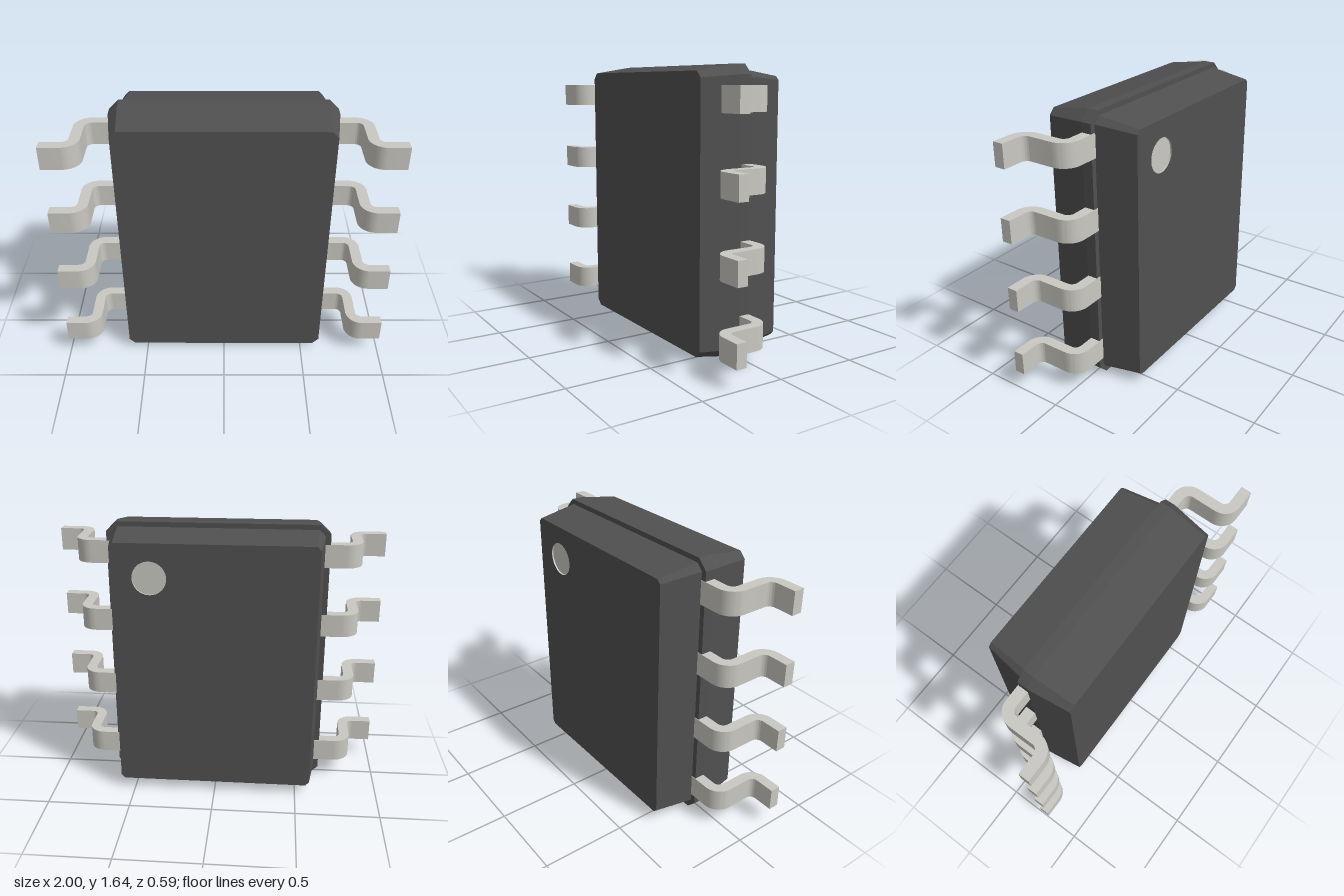
import * as THREE from 'three';
import { mergeGeometries, toCreasedNormals } from 'three/addons/utils/BufferGeometryUtils.js';

const MID = 0.819; // height of the body centre
const BACK = -0.293;
const DOT = { x: 0.365, y: 0.555, r: 0.098, depth: 0.01 };

// Rectangle with cut corners, counter-clockwise
function outline(hx, hy, c) {
  return [
    [hx, -hy + c], [hx, hy - c], [hx - c, hy], [-hx + c, hy],
    [-hx, hy - c], [-hx, -hy + c], [-hx + c, -hy], [hx - c, -hy],
  ].map(([x, y]) => new THREE.Vector2(x, y));
}

// Body: cut-corner sections joined from front to back, with a ledge at the parting line
function bodyGeometry() {
  const sections = [
    [0.256, 0.615, 0.78, 0.036],
    [0.012, 0.65, 0.819, 0.057],
    [-0.05, 0.65, 0.819, 0.057],
    [-0.05, 0.62, 0.79, 0.038],
    [BACK, 0.585, 0.755, 0.022],
  ];
  const loops = sections.map(([z, hx, hy, c]) =>
    outline(hx, hy, c).map((p) => new THREE.Vector3(p.x, p.y, z)));
  const points = [];
  for (let s = 0; s < loops.length - 1; s++) {
    for (let i = 0; i < 8; i++) {
      const j = (i + 1) % 8;
      const a = loops[s][i], b = loops[s][j], c = loops[s + 1][j], d = loops[s + 1][i];
      points.push(a, d, b, b, d, c);
    }
  }
  const walls = new THREE.BufferGeometry().setFromPoints(points);

  const front = new THREE.ShapeGeometry(new THREE.Shape(outline(...sections[0].slice(1))));
  front.translate(0, 0, sections[0][0]);

  // Back face with the opening for the marker dimple
  const backShape = new THREE.Shape(outline(...sections[4].slice(1)));
  backShape.holes.push(new THREE.Path().absarc(-DOT.x, DOT.y, DOT.r, 0, Math.PI * 2, true));
  const back = new THREE.ShapeGeometry(backShape, 24);
  back.rotateY(Math.PI).translate(0, 0, BACK);

  const parts = [walls, front, back].map((g) => {
    const flat = g.index ? g.toNonIndexed() : g;
    flat.deleteAttribute('uv');
    flat.computeVertexNormals();
    return flat;
  });
  return mergeGeometries(parts);
}

// Gull-wing lead: bent strip profile in x and z, extruded along y
function leadGeometry() {
  const t = 0.063, width = 0.137, R = 0.1, r = R - t;
  const top = -0.053, foot = 0.293, outer = 0.845, inner = outer - t;
  const cx1 = outer - R, cz1 = top + R; // centre of the shoulder bend
  const cx2 = inner + R, cz2 = foot - R; // centre of the foot bend
  const s = new THREE.Shape();
  s.moveTo(0.58, top);
  s.lineTo(cx1, top);
  s.absarc(cx1, cz1, R, -Math.PI / 2, 0, false);
  s.lineTo(outer, cz2);
  s.absarc(cx2, cz2, r, Math.PI, Math.PI / 2, true);
  s.lineTo(1, foot - t);
  s.lineTo(1, foot);
  s.lineTo(cx2, foot);
  s.absarc(cx2, cz2, R, Math.PI / 2, Math.PI, false);
  s.lineTo(inner, cz1);
  s.absarc(cx1, cz1, r, 0, -Math.PI / 2, true);
  s.lineTo(0.58, top + t);
  s.closePath();
  const g = new THREE.ExtrudeGeometry(s, { depth: width, bevelEnabled: false, curveSegments: 10 });
  g.translate(0, 0, -width / 2).rotateX(Math.PI / 2);
  return toCreasedNormals(g, 0.5);
}

export function createModel() {
  const group = new THREE.Group();
  const plastic = new THREE.MeshStandardMaterial({ color: 0x505050 });
  const metal = new THREE.MeshStandardMaterial({ color: 0xc9c8c1 });
  const add = (name, geometry, material, x, y, z) => {
    const mesh = new THREE.Mesh(geometry, material);
    mesh.name = name;
    mesh.position.set(x, y, z);
    group.add(mesh);
    return mesh;
  };

  add('body', bodyGeometry(), plastic, 0, MID, 0);

  // Four leads on each side
  const lead = leadGeometry();
  for (let i = 0; i < 4; i++) {
    const y = MID + (i - 1.5) * 0.425;
    add(`leftLead${i + 1}`, lead, metal, 0, y, 0);
    add(`rightLead${i + 1}`, lead, metal, 0, y, 0).rotation.z = Math.PI;
  }

  // Round marker dimple: floor and rim wall
  const floor = new THREE.CircleGeometry(DOT.r, 48).rotateY(Math.PI);
  add('markerFloor', floor, metal, DOT.x, MID + DOT.y, BACK + DOT.depth);
  const rim = new THREE.CylinderGeometry(DOT.r, DOT.r, DOT.depth, 48, 1, true).rotateX(Math.PI / 2);
  const rimMetal = metal.clone();
  rimMetal.side = THREE.DoubleSide;
  add('markerRim', rim, rimMetal, DOT.x, MID + DOT.y, BACK + DOT.depth / 2);

  return group;
}
